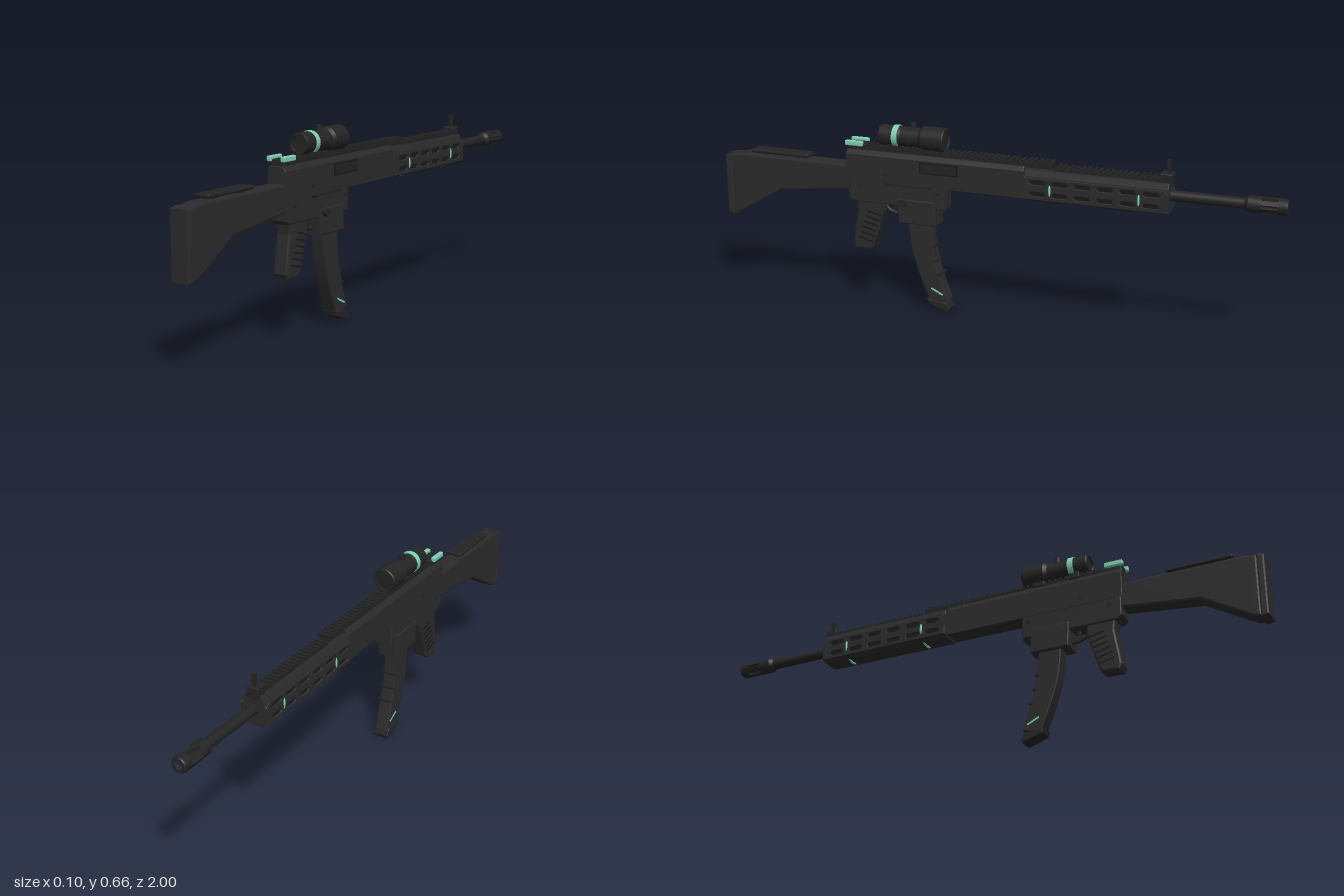
import * as THREE from 'three';
import { RoundedBoxGeometry } from 'three/addons/geometries/RoundedBoxGeometry.js';

const body = new THREE.MeshStandardMaterial({ color: 0x2b2b2b });
body.name = 'charcoal polymer';
const metal = new THREE.MeshStandardMaterial({ color: 0x242424 });
metal.name = 'dark metal';
const recess = new THREE.MeshStandardMaterial({ color: 0x191919 });
recess.name = 'shadow black';
const teal = new THREE.MeshStandardMaterial({ color: 0x80cfb2 });
teal.name = 'mint accent';

export function createModel() {
  const root = new THREE.Group();
  root.name = 'rifle';

  const add = (name, geometry, material, x = 0, y = 0, z = 0) => {
    const m = new THREE.Mesh(geometry, material);
    m.name = name;
    m.position.set(x, y, z);
    root.add(m);
    return m;
  };
  // Box given by its x, y and z ranges
  const box = (name, mat, x0, x1, y0, y1, z0, z1, r = 0) => {
    const s = [x1 - x0, y1 - y0, z1 - z0];
    const g = r ? new RoundedBoxGeometry(...s, 2, r) : new THREE.BoxGeometry(...s);
    return add(name, g, mat, (x0 + x1) / 2, (y0 + y1) / 2, (z0 + z1) / 2);
  };
  const shapeOf = (pts) => new THREE.Shape(pts.map((p) => new THREE.Vector2(...p)));
  const extrude = (shape, depth, bevel) => new THREE.ExtrudeGeometry(shape, {
    depth: depth - 2 * bevel, bevelEnabled: bevel > 0, bevelSize: bevel,
    bevelThickness: bevel, bevelOffset: -bevel, bevelSegments: 2, curveSegments: 6,
  }).translate(0, 0, bevel - depth / 2);
  // Side profile of [z, y] points, extruded across x
  const profile = (name, mat, pts, width, bevel = 0.005, x = 0) =>
    add(name, extrude(shapeOf(pts), width, bevel).rotateY(-Math.PI / 2), mat, x);
  // Turned part along z: points are [radius, z]
  const turned = (name, mat, pts, y, x = 0) => {
    const v = pts.map(([r, z]) => new THREE.Vector2(r, z));
    if (v[0].y > v[v.length - 1].y) v.reverse();
    // separate segments keep the shoulders crisp
    for (let i = 0; i < v.length - 1; i++) {
      add(name, new THREE.LatheGeometry([v[i], v[i + 1]], 28).rotateX(Math.PI / 2), mat, x, y, 0);
    }
  };
  const pin = (name, mat, r, len, x, y, z) =>
    add(name, new THREE.CylinderGeometry(r, r, len, 14).rotateZ(Math.PI / 2), mat, x, y, z);

  // Stock
  profile('stock', body, [[0.975, 0.495], [0.92, 0.502], [0.5, 0.502], [0.5, 0.412],
    [0.78, 0.38], [0.95, 0.28], [0.975, 0.278]], 0.062, 0.008);
  profile('buttPad', body, [[1.0, 0.49], [0.972, 0.497], [0.972, 0.272], [1.0, 0.276]], 0.07, 0.007);
  box('cheekRest', metal, -0.027, 0.027, 0.507, 0.52, 0.67, 0.895, 0.005);
  for (const z of [0.72, 0.85]) box('cheekRestFoot', metal, -0.015, 0.015, 0.495, 0.512, z - 0.015, z + 0.015);

  // Receiver
  const upper = [[-0.035, 0.45], [0.035, 0.45], [0.035, 0.542], [0.026, 0.557], [-0.026, 0.557], [-0.035, 0.542]];
  add('upperReceiver', extrude(shapeOf(upper), 0.65, 0.003), body, 0, 0, 0.195);
  profile('lowerReceiver', body, [[0.515, 0.46], [0.155, 0.46], [0.155, 0.372], [0.5, 0.372], [0.515, 0.385]], 0.066);
  profile('magazineWell', body, [[0.33, 0.4], [0.187, 0.4], [0.187, 0.312], [0.325, 0.312]], 0.074);
  box('ejectionPort', recess, 0.031, 0.0365, 0.497, 0.537, 0.105, 0.245);
  box('portCover', metal, 0.033, 0.0385, 0.502, 0.532, 0.11, 0.24);
  box('selectorPlate', metal, 0.03, 0.036, 0.442, 0.45, 0.2, 0.36);
  pin('boltButton', metal, 0.008, 0.03, 0.036, 0.45, 0.365);
  pin('magazineRelease', metal, 0.013, 0.03, 0.036, 0.387, 0.305);
  for (const [y, z] of [[0.43, 0.47], [0.48, 0.37], [0.43, 0.18]]) {
    pin('receiverPin', metal, 0.007, 0.075, 0, y, z);
  }

  // Top rails with cross teeth
  const rail = (z0, z1, y) => {
    box('railBase', metal, -0.018, 0.018, y - 0.006, y + 0.012, z0, z1);
    const n = Math.round((z1 - z0) / 0.02);
    for (let i = 0; i < n; i++) {
      const z = z0 + ((i + 0.25) * (z1 - z0)) / n;
      box('railTooth', metal, -0.022, 0.022, y + 0.008, y + 0.02, z - 0.005, z + 0.005);
    }
  };
  rail(-0.225, 0.45, 0.558);
  rail(-0.595, -0.23, 0.546);

  // Handguard: core and slotted side panels
  const guard = [[-0.03, 0.445], [0.03, 0.445], [0.039, 0.455], [0.039, 0.53], [0.032, 0.549],
    [-0.032, 0.549], [-0.039, 0.53], [-0.039, 0.455]];
  add('handguardCore', extrude(shapeOf(guard), 0.49, 0.003), body, 0, 0, -0.378);
  const panel = shapeOf([[-0.135, 0.528], [-0.61, 0.528], [-0.625, 0.515], [-0.625, 0.452], [-0.135, 0.452]]);
  for (const y of [0.472, 0.511]) {
    for (let i = 0; i < 6; i++) {
      const z = -0.182 - i * 0.077, h = 0.008, l = 0.019;
      const slot = new THREE.Path();
      slot.absarc(z + l, y, h, -Math.PI / 2, Math.PI / 2, false);
      slot.absarc(z - l, y, h, Math.PI / 2, Math.PI * 1.5, false);
      slot.closePath();
      panel.holes.push(slot);
    }
  }
  for (const s of [-1, 1]) {
    add('handguardPanel', extrude(panel, 0.01, 0.0015).rotateY(-Math.PI / 2), body, s * 0.0415);
    box('slotBacking', recess, s * 0.0395 - 0.0005, s * 0.0395 + 0.0005, 0.458, 0.523, -0.61, -0.15);
  }
  for (const z of [-0.225, -0.527]) {
    add('accentRing', new THREE.TorusGeometry(0.0465, 0.0042, 8, 32), teal, 0, 0.488, z);
  }

  // Barrel and slotted muzzle device
  const by = 0.503;
  turned('barrel', metal, [[0.018, -0.6], [0.018, -0.865], [0.012, -0.87], [0.012, -0.975], [0, -0.975]], by);
  turned('muzzleCollar', metal, [[0.018, -0.862], [0.027, -0.874], [0.027, -0.915], [0.012, -0.915]], by);
  turned('muzzleTip', metal, [[0.013, -0.968], [0.027, -0.968], [0.027, -0.995], [0.024, -1], [0.013, -1]], by);
  for (let i = 0; i < 6; i++) {
    const a = (i * Math.PI) / 3;
    const bar = add('muzzleProng', new THREE.BoxGeometry(0.016, 0.009, 0.06), metal,
      Math.sin(a) * 0.0215, by + Math.cos(a) * 0.0215, -0.941);
    bar.rotation.z = -a;
  }

  // Front sight
  box('frontSightBase', metal, -0.022, 0.022, 0.54, 0.578, -0.63, -0.588, 0.004);
  box('frontSightPost', metal, -0.006, 0.006, 0.575, 0.62, -0.62, -0.608);

  // Rear sight
  box('rearSightBase', metal, -0.024, 0.024, 0.55, 0.578, 0.45, 0.515, 0.004);
  for (const s of [-1, 1]) {
    box('rearSightEar', teal, s * 0.026 - 0.008, s * 0.026 + 0.008, 0.57, 0.588, 0.458, 0.524, 0.004);
  }

  // Scope
  const sy = 0.613;
  turned('scopeBody', metal, [[0, 0.392], [0.026, 0.392], [0.028, 0.398], [0.034, 0.398], [0.036, 0.393],
    [0.036, 0.325], [0.034, 0.318], [0.034, 0.25], [0.042, 0.238], [0.042, 0.162],
    [0.039, 0.158], [0.035, 0.158], [0.035, 0.166], [0, 0.166]], sy);
  turned('scopeBand', teal, [[0.034, 0.347], [0.038, 0.347], [0.038, 0.327], [0.034, 0.327]], sy);
  add('scopeTurret', new THREE.CylinderGeometry(0.011, 0.011, 0.03, 16), metal, 0, 0.649, 0.28);
  pin('scopeSideTurret', metal, 0.01, 0.016, 0.035, sy, 0.28);
  for (const z of [0.215, 0.345]) box('scopeMount', metal, -0.024, 0.024, 0.563, 0.593, z - 0.02, z + 0.02, 0.003);

  // Pistol grip with side ribs
  profile('grip', body, [[0.49, 0.38], [0.385, 0.38], [0.385, 0.345], [0.397, 0.3], [0.428, 0.205],
    [0.44, 0.197], [0.498, 0.195], [0.506, 0.215], [0.502, 0.245], [0.485, 0.34]], 0.054, 0.008);
  for (let i = 0; i < 6; i++) {
    const rib = box('gripRib', recess, -0.0285, 0.0285, 0.232 + i * 0.02, 0.238 + i * 0.02, 0.428, 0.482);
    rib.position.z -= i * 0.007;
    rib.rotation.x = -0.25;
  }

  // Trigger and guard
  const guardPath = new THREE.CatmullRomCurve3([[0.39, 0.372], [0.378, 0.35], [0.355, 0.338], [0.325, 0.335]]
    .map(([z, y]) => new THREE.Vector3(0, y, z)));
  add('triggerGuard', new THREE.TubeGeometry(guardPath, 16, 0.006, 8), metal);
  profile('trigger', metal, [[0.358, 0.375], [0.345, 0.375], [0.348, 0.345], [0.354, 0.345]], 0.012, 0.001);

  // Curved magazine with floor plate
  const front = new THREE.SplineCurve([[0.21, 0.33], [0.203, 0.225], [0.18, 0.134], [0.149, 0.045]]
    .map((p) => new THREE.Vector2(...p)));
  const back = new THREE.SplineCurve([[0.214, 0.03], [0.257, 0.134], [0.283, 0.225], [0.295, 0.33]]
    .map((p) => new THREE.Vector2(...p)));
  const outline = [...front.getPoints(9), ...back.getPoints(9)].map((p) => [p.x, p.y]);
  profile('magazine', body, outline, 0.048, 0.004);
  profile('floorPlate', metal, [[0.226, 0.043], [0.222, 0.026], [0.15, 0.001], [0.143, 0.012], [0.152, 0.03],
    [0.162, 0.036]], 0.055, 0.003);
  for (const t of [0.3, 0.48, 0.66]) {
    const p = front.getPoint(t);
    box('magazineBar', metal, -0.028, 0.028, p.y - 0.004, p.y + 0.004, p.x - 0.006, p.x + 0.006);
  }
  const mark = box('magazineMark', teal, -0.0255, 0.0255, 0.07, 0.076, 0.165, 0.212);
  mark.rotation.x = -0.45;

  return root;
}
